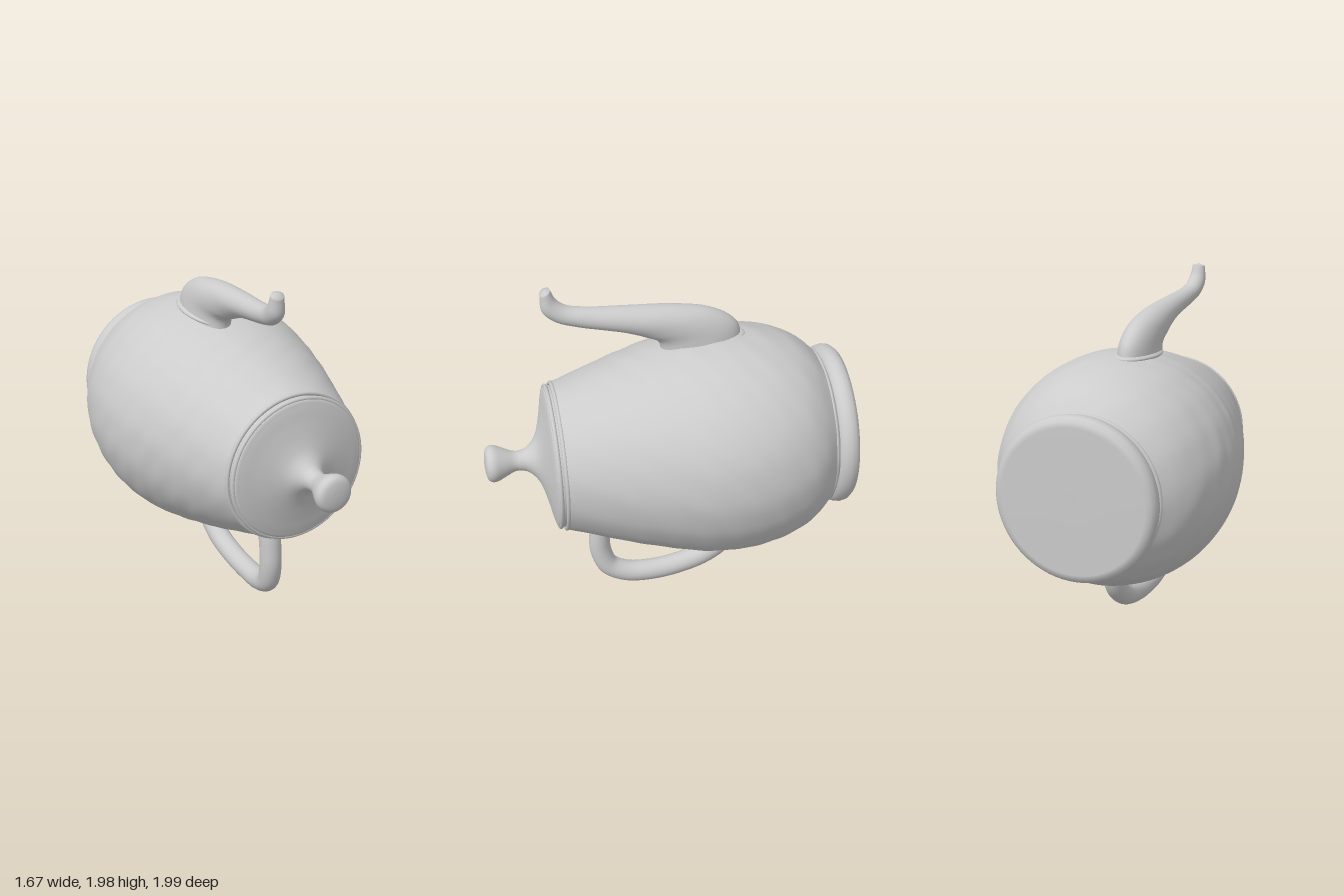
import * as THREE from 'three';
import { mergeVertices } from 'three/addons/utils/BufferGeometryUtils.js';

const material = new THREE.MeshStandardMaterial({ color: 0xcccccc, side: THREE.DoubleSide });
const AXIS_Y = 0.98; // height of the pot's horizontal axis

function part(name, geometry) {
  const mesh = new THREE.Mesh(geometry, material);
  mesh.name = name;
  return mesh;
}

// Smooth curve through [radius, distance along axis] pairs
function smooth(pairs, n) {
  return new THREE.SplineCurve(pairs.map(([r, t]) => new THREE.Vector2(r, t))).getPoints(n);
}

// Turned part whose axis lies along local z
function turned(name, points) {
  const g = new THREE.LatheGeometry(points, 72);
  g.rotateX(Math.PI / 2);
  g.translate(0, AXIS_Y, 0);
  return part(name, g);
}

// Barrel: slightly wider than tall, with faint hand-worked unevenness
function bodyGeometry(points) {
  let g = new THREE.LatheGeometry(points, 96);
  g.rotateX(Math.PI / 2);
  g.deleteAttribute('uv');
  g.deleteAttribute('normal');
  g = mergeVertices(g, 1e-4);
  const p = g.attributes.position;
  for (let i = 0; i < p.count; i++) {
    const x = p.getX(i), y = p.getY(i), z = p.getZ(i);
    const k = 1 + 0.003 * (Math.sin(23 * x + 13 * z) * Math.sin(27 * y - 11 * z) + 0.6 * Math.sin(41 * z + 19 * x - 17 * y));
    const widen = 1 + 0.022 * Math.sin(Math.PI * z / 1.65);
    p.setXYZ(i, x * k * widen, AXIS_Y + y * k, z);
  }
  g.computeVertexNormals();
  return g;
}

// Spout: oval rings spanning an upper and a lower outline
// rows: [upper z, upper y, lower z, lower y, half width, x]
function spoutGeometry(rows, sides = 28, steps = 60) {
  const [upper, lower] = [0, 2].map(k => new THREE.CatmullRomCurve3(
    rows.map(r => new THREE.Vector3(r[5], r[k + 1], r[k]))));
  const widths = new THREE.SplineCurve(rows.map((r, i) => new THREE.Vector2(i, r[4])));
  const pos = [], index = [];
  const put = v => pos.push(v.x, v.y, v.z);
  for (let i = 0; i <= steps; i++) {
    const u = i / steps;
    const a = upper.getPoint(u), b = lower.getPoint(u);
    const mid = a.clone().add(b).multiplyScalar(0.5);
    const half = a.clone().sub(mid);
    const w = widths.getPoint(u).y;
    for (let j = 0; j < sides; j++) {
      const ang = j / sides * Math.PI * 2;
      const v = mid.clone().addScaledVector(half, Math.cos(ang));
      v.x += w * Math.sin(ang);
      put(v);
      if (i < steps) {
        const p = i * sides + j, q = i * sides + (j + 1) % sides;
        index.push(p, p + sides, q, q, p + sides, q + sides);
      }
    }
  }
  // Slightly domed tip
  const last = steps * sides, tip = pos.length / 3;
  put(upper.getPoint(1).add(lower.getPoint(1)).multiplyScalar(0.5).add(new THREE.Vector3(0, 0.01, 0.004)));
  for (let j = 0; j < sides; j++) index.push(last + j, tip, last + (j + 1) % sides);
  const g = new THREE.BufferGeometry();
  g.setAttribute('position', new THREE.Float32BufferAttribute(pos, 3));
  g.setIndex(index);
  g.computeVertexNormals();
  return g;
}

export function createModel() {
  const pot = new THREE.Group();
  pot.name = 'teapotOnItsSide';

  pot.add(part('body', bodyGeometry(smooth([
    [0.4, 0.08], [0.45, 0.13], [0.53, 0.215], [0.59, 0.32], [0.638, 0.48], [0.657, 0.66],
    [0.647, 0.84], [0.612, 1.02], [0.565, 1.2], [0.51, 1.38], [0.422, 1.65]], 80))));

  // Rounded foot disc with a flat underside
  pot.add(turned('foot', [[0, -0.01], [0.41, -0.012], [0.44, -0.003], [0.46, 0.02], [0.466, 0.05],
    [0.46, 0.08], [0.445, 0.1], [0.42, 0.112], [0.38, 0.12]].map(([r, t]) => new THREE.Vector2(r, t))));

  // Rim beads at both ends of the body
  for (const [name, r, t, tube] of [['footBead', 0.443, 0.13, 0.014], ['mouthBead', 0.418, 1.648, 0.012], ['lidBead', 0.404, 1.682, 0.012]]) {
    const g = new THREE.TorusGeometry(r, tube, 10, 72);
    g.translate(0, AXIS_Y, t);
    pot.add(part(name, g));
  }

  // Lid sweeping up into the knob
  pot.add(turned('lid', smooth([
    [0.405, 1.64], [0.402, 1.69], [0.365, 1.706], [0.28, 1.724], [0.18, 1.75], [0.115, 1.78],
    [0.068, 1.83], [0.056, 1.885]], 50)));
  pot.add(turned('knob', smooth([
    [0.056, 1.88], [0.062, 1.91], [0.085, 1.96], [0.104, 2.005], [0.103, 2.035],
    [0.085, 2.055], [0.045, 2.065], [0, 2.068]], 40)));

  // Spout
  pot.add(part('spout', spoutGeometry([
    [0.57, 1.57, 1.03, 1.53, 0.11, -0.07],
    [0.6, 1.7, 1.05, 1.63, 0.1, -0.07],
    [0.72, 1.79, 1.14, 1.675, 0.095, -0.072],
    [0.92, 1.837, 1.25, 1.715, 0.085, -0.075],
    [1.2, 1.857, 1.37, 1.74, 0.07, -0.085],
    [1.42, 1.867, 1.5, 1.765, 0.058, -0.1],
    [1.54, 1.885, 1.61, 1.8, 0.053, -0.115],
    [1.595, 1.925, 1.675, 1.86, 0.049, -0.125],
    [1.625, 1.99, 1.682, 1.965, 0.038, -0.13]])));

  // Low collar where the spout meets the body
  const collar = new THREE.SphereGeometry(1, 32, 16);
  collar.scale(0.12, 0.03, 0.235);
  collar.rotateX(0.06);
  collar.translate(-0.07, 1.614, 0.79);
  pot.add(part('spoutCollar', collar));

  // Handle loop
  const path = new THREE.CatmullRomCurve3([
    [-0.01, 0.54, 1.41], [-0.005, 0.4, 1.43], [0, 0.25, 1.43], [0.012, 0.135, 1.385],
    [0.025, 0.08, 1.28], [0.033, 0.07, 1.14], [0.033, 0.088, 0.98], [0.03, 0.145, 0.8],
    [0.03, 0.24, 0.68], [0.032, 0.38, 0.62]].map(p => new THREE.Vector3(...p)));
  pot.add(part('handle', new THREE.TubeGeometry(path, 90, 0.063, 20)));

  // Turn the axis in plan and place the foot end
  pot.rotation.y = 0.607;
  pot.position.set(-0.467, 0, -0.751);

  const model = new THREE.Group();
  model.name = 'teapot';
  model.add(pot);
  return model;
}
